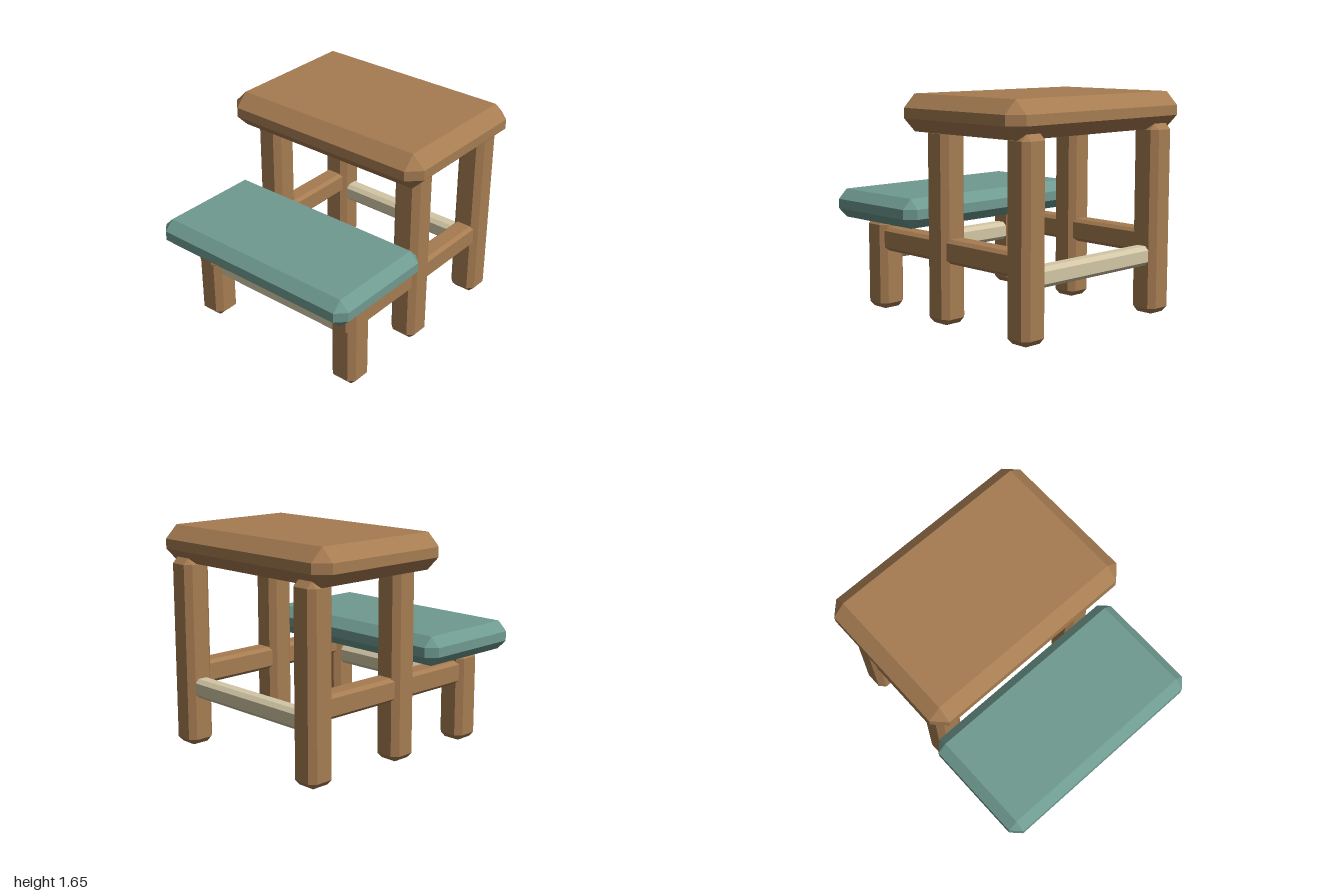
import * as THREE from 'three';
import { ConvexGeometry } from 'three/addons/geometries/ConvexGeometry.js';

const material = (color) => new THREE.MeshStandardMaterial({ color, flatShading: true });

// Box spanning [min, max] with every edge and corner cut off by c
function chamferedBox(name, min, max, c, mat) {
  const size = max.map((v, i) => v - min[i]);
  const points = [];
  for (const sx of [-1, 1]) for (const sy of [-1, 1]) for (const sz of [-1, 1]) {
    for (let axis = 0; axis < 3; axis++) {
      const p = [sx, sy, sz].map((s, i) => s * (size[i] / 2 - (i === axis ? 0 : c)));
      points.push(new THREE.Vector3(...p));
    }
  }
  const mesh = new THREE.Mesh(new ConvexGeometry(points), mat);
  mesh.name = name;
  mesh.position.set(...min.map((v, i) => v + size[i] / 2));
  return mesh;
}

export function createModel() {
  const model = new THREE.Group();
  model.name = 'deskWithBench';
  const wood = material(0xa67c52);
  const teal = material(0x6f9a90);
  const cream = material(0xd2c6a5);

  // Table top and bench seat
  model.add(chamferedBox('tableTop', [-0.88, 1.38, -1], [0.88, 1.65, 0.22], 0.098, wood));
  model.add(chamferedBox('benchSeat', [-0.88, 0.675, 0.075], [0.88, 0.893, 1], 0.073, teal));

  const legs = [
    ['rearLeg', -0.877, 1.42],
    ['middleLeg', -0.07, 1.42],
    ['benchLeg', 0.637, 0.69],
  ];
  for (const [side, x] of [['left', 0.66], ['right', -0.66]]) {
    // Legs run slightly up into the slabs
    for (const [name, z, top] of legs) {
      model.add(chamferedBox(`${side}_${name}`,
        [x - 0.109, 0, z - 0.109], [x + 0.109, top, z + 0.109], 0.044, wood));
    }
    // Side rail through all three legs, its front end just showing
    model.add(chamferedBox(`${side}_sideRail`,
      [x - 0.082, 0.453, -0.9], [x + 0.082, 0.628, 0.757], 0.025, wood));
  }

  // Cross stretchers between the rear legs and between the bench legs
  for (const [name, z] of [['rearStretcher', -0.877], ['benchStretcher', 0.637]]) {
    model.add(chamferedBox(name, [-0.64, 0.37, z - 0.065], [0.64, 0.515, z + 0.065], 0.029, cream));
  }
  return model;
}
